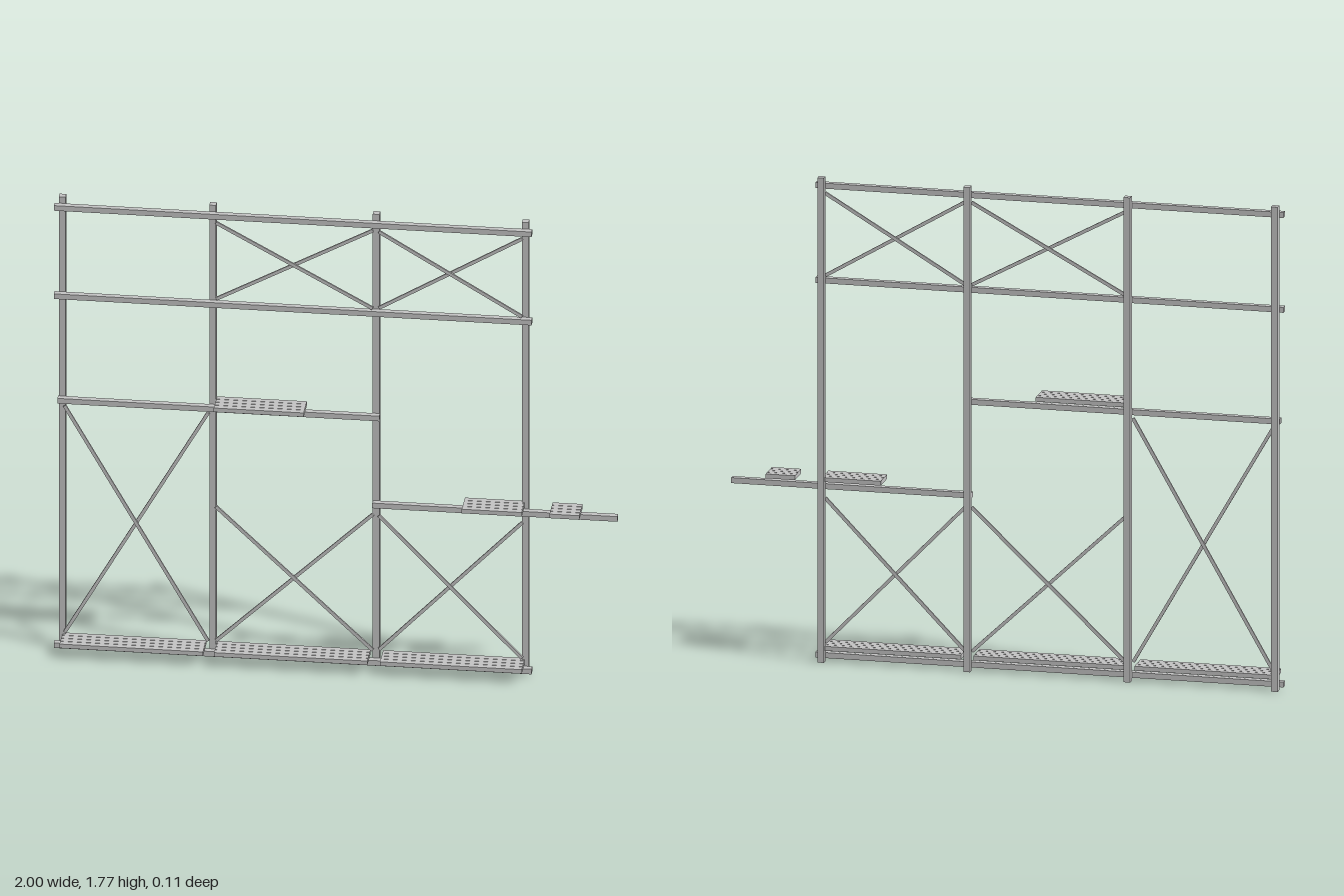
import * as THREE from 'three';

export function createModel() {
  const model = new THREE.Group();
  model.name = 'scaffoldFrame';
  const steel = new THREE.MeshStandardMaterial({ color: 0xc2c2c2 });
  steel.name = 'light grey steel';

  // Box given by its lower and upper limits on each axis
  function bar(name, x0, x1, y0, y1, z0, z1, parent = model) {
    const mesh = new THREE.Mesh(new THREE.BoxGeometry(x1 - x0, y1 - y0, z1 - z0), steel);
    mesh.position.set((x0 + x1) / 2, (y0 + y1) / 2, (z0 + z1) / 2);
    mesh.name = name;
    parent.add(mesh);
  }

  // Uprights
  for (const x of [-0.973, -0.439, 0.141, 0.67]) {
    bar('post', x - 0.012, x + 0.012, 0, 1.77, -0.053, -0.028);
  }

  // Horizontal rails fixed to the front of the posts
  const rails = [
    [-1, 0.695, 0.021], [-1, 0.695, 1.389], [-1, 0.695, 1.735],
    [-0.987, 0.155, 0.98], [0.13, 1, 0.638],
  ];
  for (const [x0, x1, y] of rails) bar('rail', x0, x1, y - 0.01, y + 0.01, -0.028, -0.006);

  // Crossed braces: two flat bars at neighbouring depths
  function brace(x0, x1, y0, y1, z) {
    const dx = x1 - x0, dy = y1 - y0;
    const mesh = new THREE.Mesh(new THREE.BoxGeometry(Math.hypot(dx, dy), 0.012, 0.007), steel);
    mesh.position.set((x0 + x1) / 2, (y0 + y1) / 2, z);
    mesh.rotation.z = Math.atan2(dy, dx);
    mesh.name = 'brace';
    model.add(mesh);
  }
  const bays = [
    [-0.963, -0.454, 0.067, 0.958],
    [-0.426, 0.13, 0.067, 0.595], [0.152, 0.66, 0.067, 0.595],
    [-0.426, 0.13, 1.406, 1.708], [0.152, 0.66, 1.406, 1.708],
  ];
  for (const [x0, x1, y0, y1] of bays) {
    brace(x0, x1, y0, y1, -0.024);
    brace(x0, x1, y1, y0, -0.017);
  }

  // Walkway decks: a solid panel with slightly raised treads
  function deck(x0, x1, y) {
    const group = new THREE.Group();
    group.name = 'deck';
    model.add(group);
    const back = -0.04, front = 0.054, count = 4, gap = 0.002;
    bar('panel', x0, x1, y - 0.008, y + 0.007, back, front, group);
    const pitch = (front - back + gap) / count;
    for (let i = 0; i < count; i++) {
      const z = back + i * pitch;
      bar('tread', x0, x1, y + 0.007, y + 0.008, z, z + pitch - gap, group);
    }
  }
  deck(-0.972, -0.463, 0.049);
  deck(-0.424, 0.12, 0.049);
  deck(0.165, 0.668, 0.049);
  deck(-0.425, -0.106, 1.008);
  deck(0.455, 0.668, 0.665);
  deck(0.766, 0.872, 0.665);

  return model;
}
